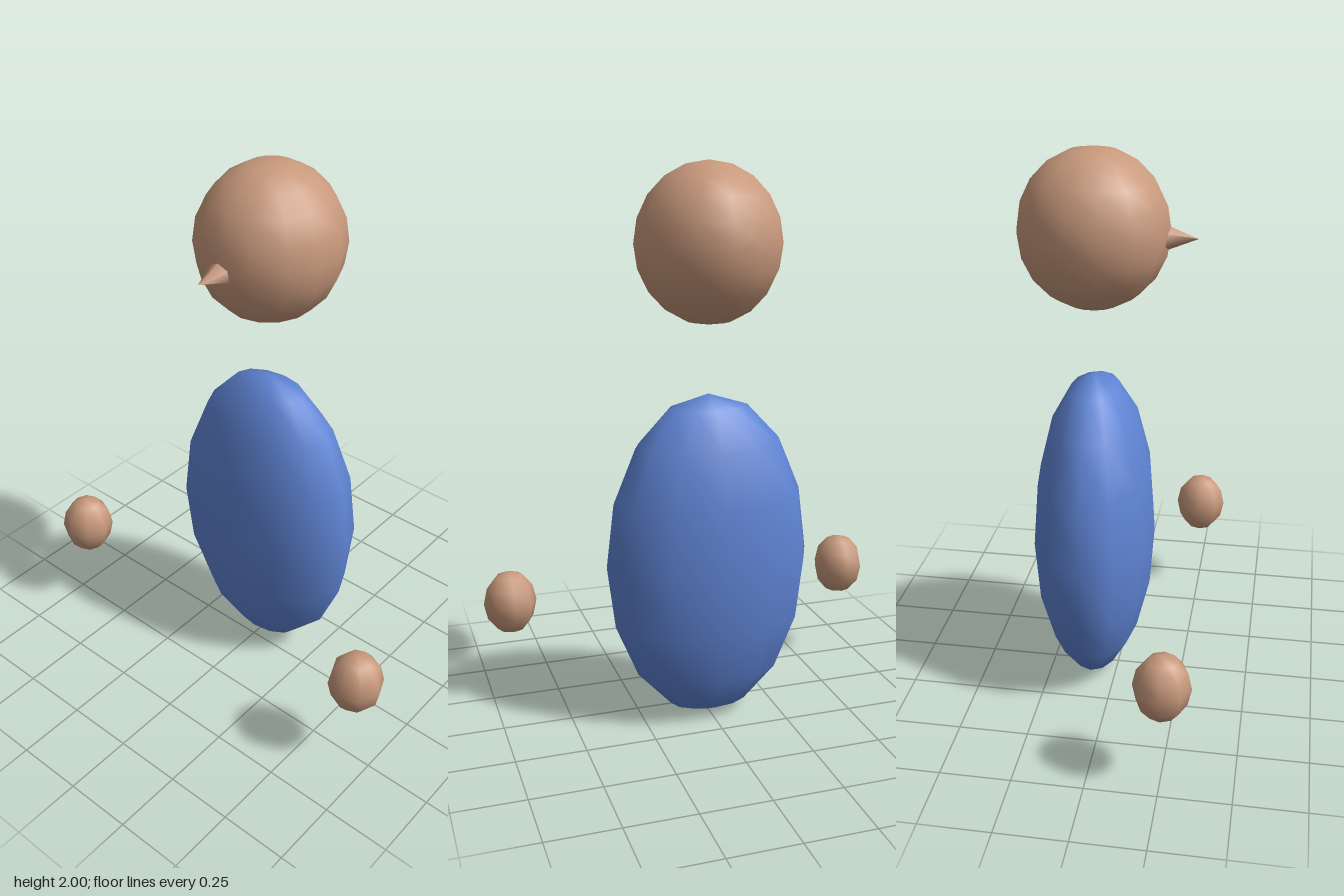
import * as THREE from 'three';

export function createModel() {
  const model = new THREE.Group();
  model.name = 'floatingFigure';

  const skin = new THREE.MeshStandardMaterial({ color: 0xc8997c });
  skin.name = 'skin';
  const cloth = new THREE.MeshStandardMaterial({ color: 0x5f84d4 });
  cloth.name = 'blueCloth';

  // Smooth low-poly ellipsoid with the given half sizes
  function ellipsoid(name, material, radii, position, sides, rows, turn = 0) {
    const geometry = new THREE.SphereGeometry(1, sides, rows);
    geometry.rotateY(turn);
    const mesh = new THREE.Mesh(geometry, material);
    mesh.name = name;
    mesh.scale.set(...radii);
    mesh.position.set(...position);
    model.add(mesh);
  }

  ellipsoid('body', cloth, [0.377, 0.603, 0.222], [0, 0.603, -0.085], 12, 8);

  // Head is turned so that a column of vertices faces forward
  ellipsoid('head', skin, [0.255, 0.276, 0.265], [0, 1.724, -0.085], 14, 10, Math.PI / 2);

  // Floating hands
  for (const [side, name] of [[1, 'leftHand'], [-1, 'rightHand']]) {
    ellipsoid(name, skin, [0.099, 0.12, 0.099], [side * 0.672, 0.384, 0.251], 8, 6);
  }

  // Pointed nose
  const nose = new THREE.Mesh(new THREE.ConeGeometry(0.044, 0.11, 6), skin);
  nose.name = 'nose';
  nose.rotation.x = Math.PI / 2;
  nose.position.set(0, 1.703, 0.217);
  model.add(nose);

  return model;
}
